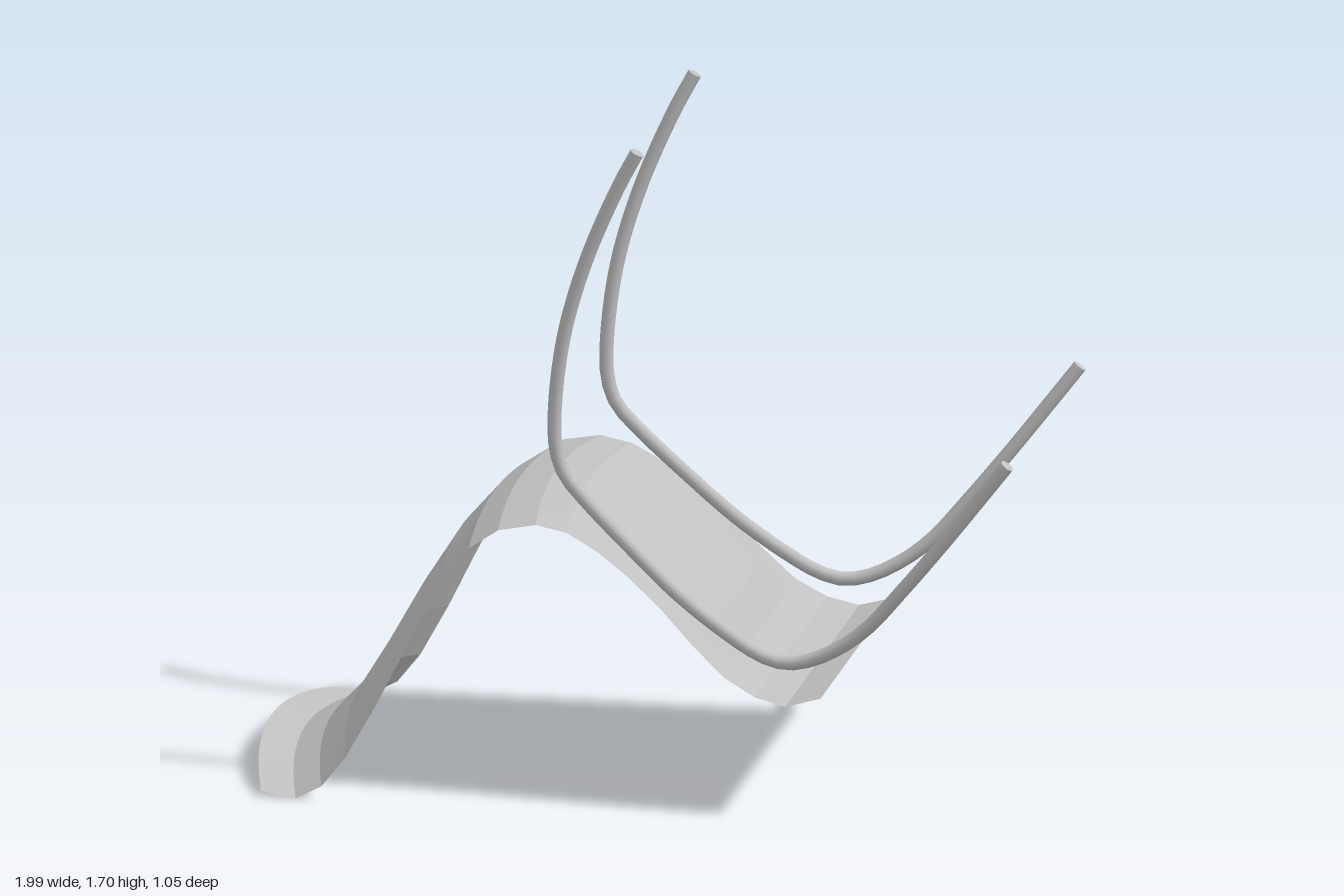
import * as THREE from 'three';

// Shell stations from backrest lip to seat lip:
// [centre x, centre y, edge x, edge y, half width]
const STATIONS = [
  [-1, .08, -.93, .02, .52], [-.91, .06, -.84, .005, .525], [-.84, .095, -.775, .04, .525],
  [-.77, .17, -.715, .115, .52], [-.69, .3, -.64, .25, .505], [-.6, .46, -.565, .4, .49],
  [-.51, .6, -.48, .56, .47], [-.43, .69, -.41, .66, .46], [-.36, .735, -.335, .71, .455],
  [-.27, .753, -.24, .727, .45], [-.18, .738, -.16, .71, .45], [-.09, .69, -.08, .665, .455],
  [0, .625, 0, .605, .463], [.1, .54, .085, .53, .475], [.195, .445, .165, .445, .485],
  [.255, .365, .25, .365, .495], [.33, .32, .33, .32, .503], [.41, .3, .41, .3, .51],
  [.5, .325, .5, .325, .505],
];

// Centre line of one bent leg pair
const LEG_PATH = [
  [.01, 1.695, .397], [-.04, 1.6, .39], [-.125, 1.4, .378], [-.183, 1.2, .367],
  [-.208, 1.0, .359], [-.205, .9, .356], [-.185, .84, .356], [-.14, .785, .36],
  [0, .65, .377], [.12, .543, .392], [.25, .45, .405], [.33, .405, .413], [.39, .39, .42],
  [.45, .4, .427], [.53, .438, .437], [.61, .5, .447], [.7, .603, .46], [.8, .725, .474],
  [.9, .853, .488], [.977, .953, .5],
];
const TUBE_RADIUS = .018;

// Thin sheet lofted through the stations, curved across its width
function shellGeometry(across = 12) {
  const positions = [], index = [];
  for (const [cx, cy, ex, ey, w] of STATIONS) {
    for (let j = 0; j <= across; j++) {
      const t = (j / across) * 2 - 1;
      const k = t * t;
      positions.push(cx + (ex - cx) * k, cy + (ey - cy) * k, t * w);
    }
  }
  const row = across + 1;
  for (let i = 0; i < STATIONS.length - 1; i++) {
    for (let j = 0; j < across; j++) {
      const a = i * row + j, b = a + 1, c = a + row, d = c + 1;
      index.push(a, b, c, b, d, c);
    }
  }
  const g = new THREE.BufferGeometry();
  g.setAttribute('position', new THREE.Float32BufferAttribute(positions, 3));
  g.setIndex(index);
  g.computeVertexNormals();
  return g;
}

// Bent tube with flat end caps, on the side given by the sign
function legPair(side, material) {
  const group = new THREE.Group();
  group.name = side > 0 ? 'leftLegPair' : 'rightLegPair';
  const points = LEG_PATH.map(([x, y, z]) => new THREE.Vector3(x, y, z * side));
  const curve = new THREE.CatmullRomCurve3(points);
  const tube = new THREE.Mesh(new THREE.TubeGeometry(curve, 64, TUBE_RADIUS, 12), material);
  tube.name = 'legTube';
  group.add(tube);
  for (const end of [0, 1]) {
    const cap = new THREE.Mesh(new THREE.CircleGeometry(TUBE_RADIUS, 12), material);
    const outward = curve.getTangentAt(end).multiplyScalar(end ? 1 : -1);
    cap.position.copy(curve.getPointAt(end));
    cap.quaternion.setFromUnitVectors(new THREE.Vector3(0, 0, 1), outward);
    cap.name = 'legEndCap';
    group.add(cap);
  }
  return group;
}

export function createModel() {
  const shellGrey = new THREE.MeshStandardMaterial({
    color: 0xc0c0c0, flatShading: true, side: THREE.DoubleSide,
  });
  shellGrey.name = 'shell grey';

  // Smooth tubes share the colour of the faceted shell
  const tubeGrey = new THREE.MeshStandardMaterial({ color: 0xc0c0c0 });
  tubeGrey.name = 'tube grey';

  const model = new THREE.Group();
  model.name = 'upturnedChair';
  const shell = new THREE.Mesh(shellGeometry(), shellGrey);
  shell.name = 'seatAndBackShell';
  model.add(shell, legPair(1, tubeGrey), legPair(-1, tubeGrey));
  return model;
}
